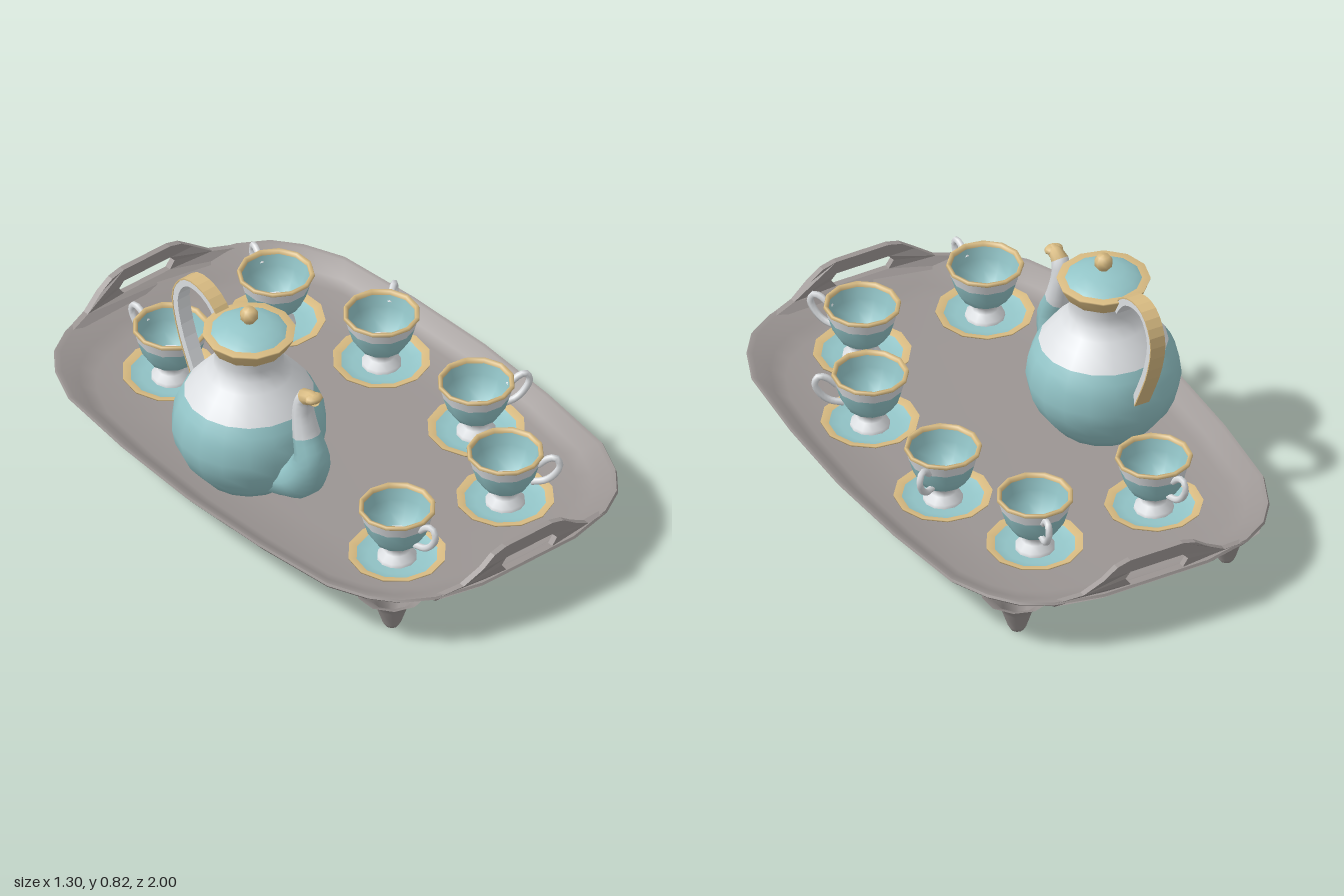
import * as THREE from 'three';
import { toCreasedNormals } from 'three/addons/utils/BufferGeometryUtils.js';

const material = (name, color) => new THREE.MeshStandardMaterial({ name, color, side: THREE.DoubleSide });
const pewter = material('warm grey', 0x9b9593);
const teal = material('teal', 0x93c5c8);
const white = material('porcelain white', 0xdcdfe2);
const gold = material('gold', 0xd8bb82);

const v2 = (pts) => pts.map(([x, y]) => new THREE.Vector2(x, y));
const v3 = (pts) => pts.map(([x, y, z]) => new THREE.Vector3(x, y, z));

function add(group, name, geometry, mat) {
  const mesh = new THREE.Mesh(geometry, mat);
  mesh.name = name;
  group.add(mesh);
  return mesh;
}

const lathe = (pts, sides) => new THREE.LatheGeometry(v2(pts), sides);

// Shallow dish lofted from scaled copies of one outline
function trayGeometry() {
  const quarter = [[0.2, 1], [0.37, 0.96], [0.47, 0.9], [0.54, 0.81], [0.6, 0.67], [0.635, 0.35], [0.65, 0]];
  const half = [...quarter, ...quarter.slice(0, -1).reverse().map(([x, z]) => [x, -z])];
  const outline = [...half, ...half.slice().reverse().map(([x, z]) => [-x, z])];
  const rings = [[0, 0.13], [0.6, 0.13], [0.86, 0.137], [0.94, 0.16], [1, 0.205], [0.995, 0.213],
    [0.975, 0.21], [0.91, 0.172], [0.85, 0.155], [0.6, 0.15], [0, 0.15]];
  const n = outline.length;
  const pos = [], index = [];
  for (const [s, y] of rings) for (const [x, z] of outline) pos.push(x * s, y, z * s);
  for (let j = 0; j < rings.length - 1; j++) {
    for (let i = 0; i < n; i++) {
      const a = j * n + i, b = j * n + (i + 1) % n;
      index.push(a, b, a + n, b, b + n, a + n);
    }
  }
  const g = new THREE.BufferGeometry();
  g.setAttribute('position', new THREE.Float32BufferAttribute(pos, 3));
  g.setIndex(index);
  return toCreasedNormals(g, 0.8);
}

// Raised end grip with a slot, bent to follow the tray outline
function gripGeometry() {
  const right = [[0.1, 0.318], [0.15, 0.305], [0.2, 0.27], [0.27, 0.225], [0.38, 0.205], [0.36, 0.185], [0.2, 0.19]];
  const shape = new THREE.Shape(v2([...right, ...right.slice().reverse().map(([x, y]) => [-x, y])]));
  shape.holes.push(new THREE.Path(v2([[-0.1, 0.222], [-0.12, 0.25], [-0.1, 0.272], [0.1, 0.272], [0.12, 0.25], [0.1, 0.222]])));
  const g = new THREE.ExtrudeGeometry(shape, { depth: 0.022, bevelEnabled: false });
  const p = g.attributes.position;
  for (let i = 0; i < p.count; i++) {
    const bend = Math.max(0, Math.abs(p.getX(i)) - 0.2) * 0.23;
    p.setZ(i, p.getZ(i) + 0.978 - bend - Math.max(0, 0.21 - p.getY(i)) * 0.8);
  }
  g.computeVertexNormals();
  return g;
}

function createTray() {
  const tray = new THREE.Group();
  tray.name = 'tray';
  add(tray, 'trayDish', trayGeometry(), pewter);
  const grip = gripGeometry();
  const foot = lathe([[0, 0], [0.022, 0.003], [0.032, 0.02], [0.052, 0.08], [0.08, 0.125], [0.12, 0.145]], 10);
  for (const s of [1, -1]) {
    add(tray, 'trayGrip', grip, pewter).rotation.y = s > 0 ? 0 : Math.PI;
    for (const x of [-0.4, 0.4]) add(tray, 'trayFoot', foot, pewter).position.set(x, 0, s * 0.765);
  }
  return tray;
}

// Tapering spout, coloured in three bands along its length
function spoutGeometry() {
  const path = new THREE.CatmullRomCurve3(v3([[0, 0.24, 0.16], [0, 0.29, 0.275], [0, 0.38, 0.325],
    [0, 0.48, 0.295], [0, 0.57, 0.28], [0, 0.625, 0.295], [0, 0.637, 0.345]]));
  const radii = [0.085, 0.08, 0.062, 0.046, 0.036, 0.03, 0.022];
  const steps = 20, sides = 10;
  const g = new THREE.TubeGeometry(path, steps, 1, sides, false);
  const p = g.attributes.position, v = new THREE.Vector3();
  for (let i = 0; i <= steps; i++) {
    const c = path.getPointAt(i / steps);
    const t = path.getUtoTmapping(i / steps) * (radii.length - 1);
    const k = Math.min(Math.floor(t), radii.length - 2);
    const r = THREE.MathUtils.lerp(radii[k], radii[k + 1], t - k);
    for (let j = 0; j <= sides; j++) {
      const id = i * (sides + 1) + j;
      v.fromBufferAttribute(p, id).sub(c).multiplyScalar(r).add(c);
      p.setXYZ(id, v.x, v.y, v.z);
    }
    if (i < steps) {
      const mid = path.getPointAt((i + 0.5) / steps);
      g.addGroup(i * sides * 6, sides * 6, mid.y < 0.475 ? 0 : mid.y < 0.615 ? 1 : 2);
    }
  }
  return g;
}

// Flat strap following a curve, between two offsets from it
function strapGeometry(points, inner, outer, width) {
  const curve = new THREE.SplineCurve(v2(points));
  const side = (offset) => Array.from({ length: 19 }, (_, i) => {
    const c = curve.getPoint(i / 18), t = curve.getTangent(i / 18);
    return new THREE.Vector2(c.x - t.y * offset, c.y + t.x * offset);
  });
  const shape = new THREE.Shape([...side(inner), ...side(outer).reverse()]);
  const g = new THREE.ExtrudeGeometry(shape, { depth: width, bevelEnabled: false });
  return g.translate(0, 0, -width / 2).rotateY(Math.PI / 2);
}

function createTeapot() {
  const pot = new THREE.Group();
  pot.name = 'teapot';
  add(pot, 'lowerBody', lathe([[0, 0.155], [0.16, 0.155], [0.19, 0.19], [0.225, 0.235], [0.25, 0.29], [0.26, 0.345],
    [0.252, 0.41], [0.236, 0.45], [0.217, 0.482]], 18), teal);
  add(pot, 'upperBody', lathe([[0.217, 0.482], [0.18, 0.53], [0.145, 0.565], [0.12, 0.6], [0.114, 0.635], [0.122, 0.68]], 18), white);
  add(pot, 'mouthRim', lathe([[0.122, 0.672], [0.13, 0.676], [0.155, 0.722], [0.157, 0.73], [0.12, 0.731]], 12), gold);
  add(pot, 'lid', lathe([[0.131, 0.729], [0.11, 0.743], [0.07, 0.758], [0.02, 0.766], [0, 0.766]], 12), teal);
  add(pot, 'lidKnob', lathe([[0.018, 0.76], [0.018, 0.768], [0.03, 0.782], [0.031, 0.802], [0.02, 0.818], [0, 0.822]], 10), gold);
  add(pot, 'spout', spoutGeometry(), [teal, white, gold]);
  const lip = add(pot, 'spoutLip', new THREE.SphereGeometry(1, 10, 6), gold);
  lip.scale.set(0.034, 0.017, 0.026);
  lip.position.set(0, 0.64, 0.335);
  const arch = [[0.12, 0.68], [0.165, 0.74], [0.225, 0.772], [0.29, 0.772], [0.335, 0.73], [0.352, 0.66],
    [0.325, 0.55], [0.28, 0.45], [0.245, 0.38]];
  add(pot, 'handle', strapGeometry(arch, -0.014, 0.01, 0.052), white);
  add(pot, 'handleTrim', strapGeometry(arch, 0.01, 0.015, 0.056), gold);
  pot.position.set(-0.34, 0, -0.045);
  return pot;
}

// Cup and saucer pieces as [name, profile, material]
const cupParts = [
  ['saucerRim', [[0.14, 0.172], [0.165, 0.182], [0.166, 0.188], [0.138, 0.18]], gold],
  ['saucerBase', [[0, 0.15], [0.07, 0.152], [0.14, 0.172]], white],
  ['saucerTop', [[0.138, 0.18], [0.1, 0.167], [0, 0.163]], teal],
  ['cupFoot', [[0.068, 0.163], [0.066, 0.178], [0.045, 0.198], [0.04, 0.213], [0.052, 0.228]], white],
  ['cupBowl', [[0.052, 0.228], [0.078, 0.245], [0.1, 0.28], [0.114, 0.328]], teal],
  ['cupBand', [[0.114, 0.328], [0.124, 0.366]], white],
  ['cupRim', [[0.124, 0.364], [0.131, 0.37], [0.128, 0.38], [0.117, 0.378], [0.114, 0.366]], gold],
  ['cupInside', [[0.115, 0.368], [0.104, 0.325], [0.09, 0.284], [0.06, 0.25]], teal],
  ['cupBottom', [[0.06, 0.25], [0.03, 0.24], [0, 0.238]], white],
].map(([name, pts, mat]) => [name, lathe(pts, 12), mat]);

const earCurve = new THREE.CatmullRomCurve3(v3([[0, 0.335, 0.112], [0, 0.365, 0.145], [0, 0.372, 0.172], [0, 0.345, 0.186],
  [0, 0.305, 0.168], [0, 0.275, 0.135], [0, 0.262, 0.088]]));
const earGeometry = new THREE.TubeGeometry(earCurve, 16, 0.012, 6);

function createCup(x, z, angle) {
  const cup = new THREE.Group();
  cup.name = 'cupAndSaucer';
  for (const [name, geometry, mat] of cupParts) add(cup, name, geometry, mat);
  add(cup, 'cupHandle', earGeometry, white);
  cup.position.set(x, 0, z);
  cup.rotation.y = angle;
  return cup;
}

export function createModel() {
  const model = new THREE.Group();
  model.name = 'teaSet';
  model.add(createTray(), createTeapot());
  // Each cup: x, z, then the direction its handle points
  const cups = [[-0.225, -0.585, -3, -34], [0.23, -0.585, 8, -30], [0.357, -0.19, 25, -18],
    [0.357, 0.3, 28, 12], [0.185, 0.655, 20, 25], [-0.285, 0.655, 2, 32]];
  for (const [x, z, dx, dz] of cups) model.add(createCup(x, z, Math.atan2(dx, dz)));
  return model;
}
